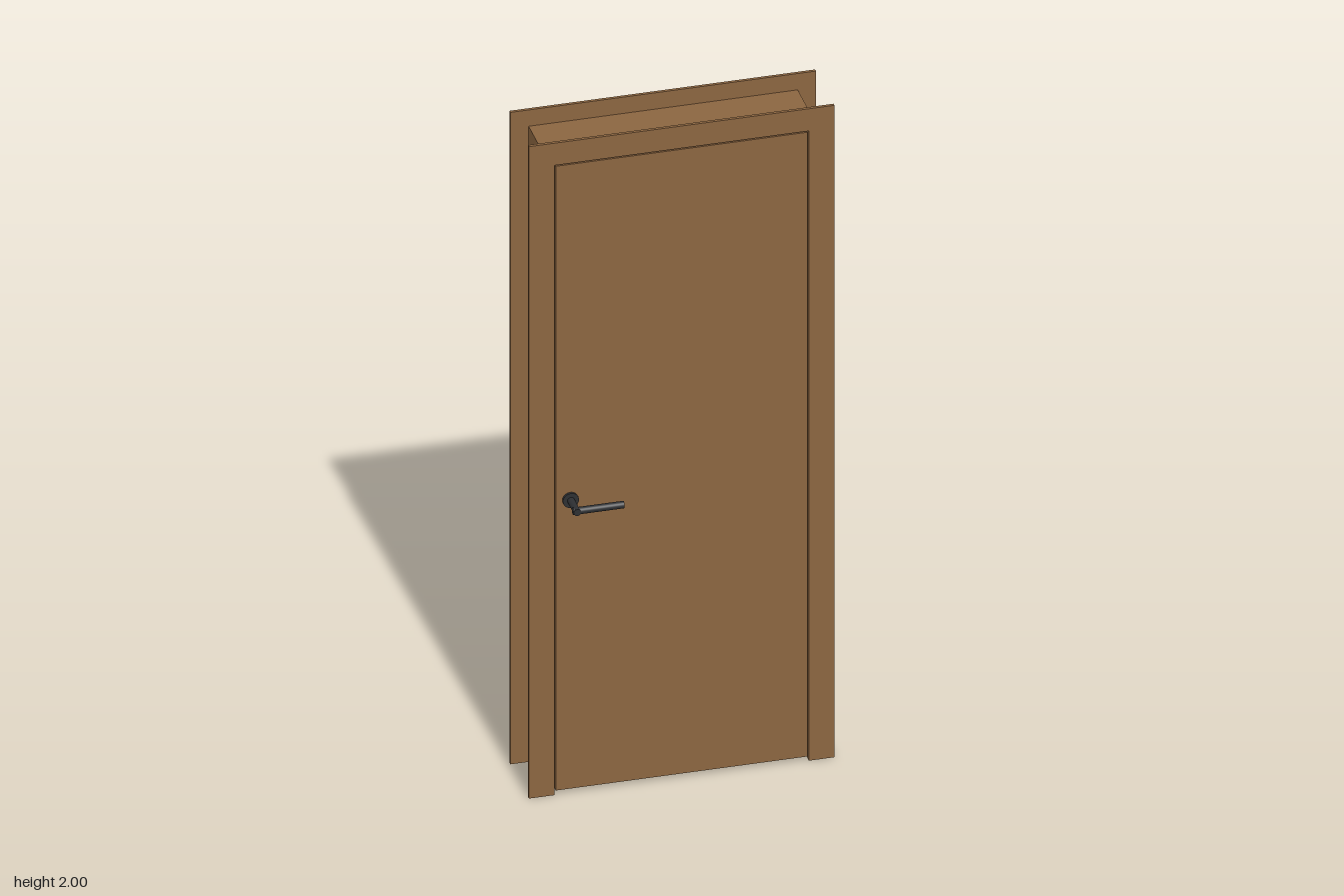
import * as THREE from 'three';

const wood = new THREE.MeshStandardMaterial({ color: 0x8b6540 });
wood.name = 'brown wood';
const metal = new THREE.MeshStandardMaterial({ color: 0x2d2f32 });
metal.name = 'dark metal';

function part(name, geometry, material, x = 0, y = 0, z = 0) {
  const mesh = new THREE.Mesh(geometry, material);
  mesh.name = name;
  mesh.position.set(x, y, z);
  return mesh;
}

// Upside-down U, open at the floor, between two half widths and two heights
function arch(name, outerX, outerY, innerX, innerY, z0, z1) {
  const shape = new THREE.Shape([
    [-outerX, 0], [-innerX, 0], [-innerX, innerY], [innerX, innerY],
    [innerX, 0], [outerX, 0], [outerX, outerY], [-outerX, outerY],
  ].map(([x, y]) => new THREE.Vector2(x, y)));
  const geometry = new THREE.ExtrudeGeometry(shape, { depth: z1 - z0, bevelEnabled: false });
  return part(name, geometry, wood, 0, 0, z0);
}

// Lever handle, built for a door face at z = 0 and pointing out along +z
function handle(name) {
  const group = new THREE.Group();
  group.name = name;
  const rosette = part('rosette', new THREE.CylinderGeometry(0.022, 0.022, 0.007, 32), metal, 0, 0, 0.0035);
  const stem = part('stem', new THREE.CylinderGeometry(0.01, 0.01, 0.073, 24), metal, 0, 0, 0.0365);
  rosette.rotation.x = stem.rotation.x = Math.PI / 2;
  const lever = part('lever', new THREE.CylinderGeometry(0.01, 0.01, 0.14, 24), metal, 0.06, 0, 0.063);
  lever.rotation.z = Math.PI / 2;
  group.add(rosette, stem, lever);
  return group;
}

export function createModel() {
  const model = new THREE.Group();
  model.name = 'door';

  // Frame: lining, casings on both wall faces and the stop behind the leaf
  model.add(
    arch('jamb', 0.37, 1.95, 0.35, 1.932, -0.127, 0.052),
    arch('frontCasing', 0.42, 2, 0.35, 1.932, 0.052, 0.061),
    arch('backCasing', 0.42, 2, 0.35, 1.932, -0.136, -0.127),
    arch('doorStop', 0.35, 1.932, 0.338, 1.92, 0, 0.019),
  );

  // Door leaf with a narrow gap all round
  model.add(part('doorLeaf', new THREE.BoxGeometry(0.692, 1.915, 0.04), wood, 0, 0.9705, 0.04));

  // Handles on both faces; the back one is mirrored through the leaf
  const front = handle('frontHandle');
  front.position.set(-0.306, 0.9, 0.06);
  const back = handle('backHandle');
  back.position.set(-0.306, 0.9, 0.02);
  back.scale.z = -1;
  model.add(front, back);

  return model;
}
